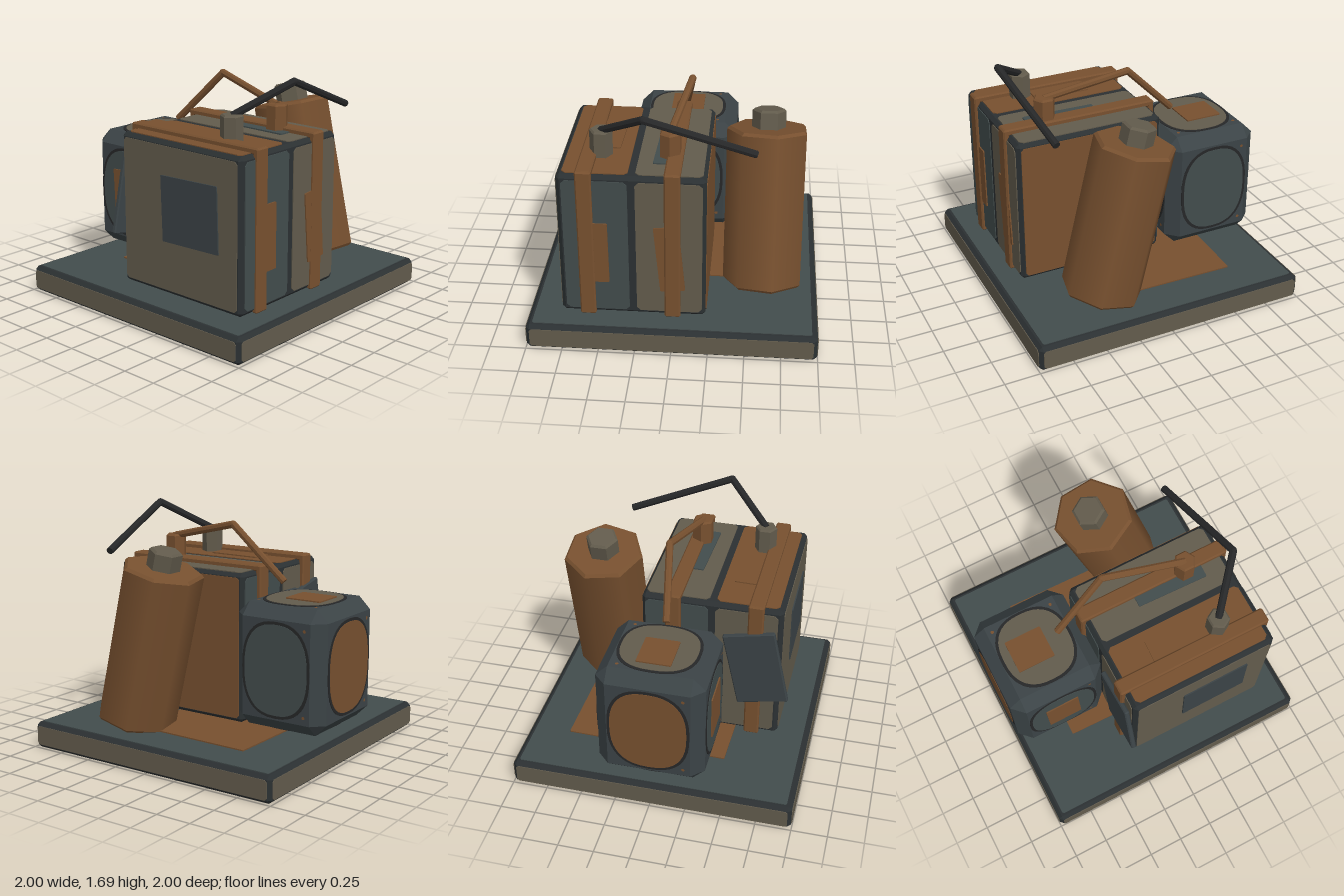
import * as THREE from 'three';
import { ConvexGeometry } from 'three/addons/geometries/ConvexGeometry.js';

const paint = (name, color) => {
  const m = new THREE.MeshStandardMaterial({ color });
  m.name = name;
  return m;
};
const M = {
  slate: paint('slate', 0x424c4c),
  gunmetal: paint('gunmetal', 0x3b4346),
  trim: paint('dark trim', 0x2b3032),
  black: paint('black', 0x262728),
  rust: paint('rust brown', 0x77502f),
  taupe: paint('taupe', 0x625b4c),
};

// Orientation that turns a plate lying in XY to look out of each side
const FACES = {
  front: [0, 0, 0], back: [0, Math.PI, 0], right: [0, Math.PI / 2, 0],
  left: [0, -Math.PI / 2, 0], top: [-Math.PI / 2, 0, 0], bottom: [Math.PI / 2, 0, 0],
};

export function createModel() {
  const model = new THREE.Group();
  model.name = 'crateAndTank';

  function group(name) {
    const g = new THREE.Group();
    g.name = name;
    model.add(g);
    return g;
  }
  function add(parent, name, geo, mat, pos = [0, 0, 0]) {
    const mesh = new THREE.Mesh(geo, mat);
    mesh.name = name;
    mesh.position.set(...pos);
    parent.add(mesh);
    return mesh;
  }
  // Box with every edge cut at 45 degrees
  function chamferBox(w, h, d, c) {
    const pts = [];
    for (const sx of [-1, 1]) for (const sy of [-1, 1]) for (const sz of [-1, 1]) {
      for (let k = 0; k < 3; k++) {
        const cut = [c, c, c];
        cut[k] = 0;
        pts.push(new THREE.Vector3(sx * (w / 2 - cut[0]), sy * (h / 2 - cut[1]), sz * (d / 2 - cut[2])));
      }
    }
    return new ConvexGeometry(pts);
  }
  // Thin plate with clipped corners
  function clippedPlate(w, h, c, t) {
    const x = w / 2, y = h / 2;
    const pts = [[c - x, -y], [x - c, -y], [x, c - y], [x, y - c], [x - c, y], [c - x, y], [-x, y - c], [-x, c - y]];
    const shape = new THREE.Shape(pts.map(p => new THREE.Vector2(...p)));
    return new THREE.ExtrudeGeometry(shape, { depth: t, bevelEnabled: false });
  }
  // Thin squarish oval plate
  function ovalPlate(w, h, t) {
    const pts = [];
    for (let i = 0; i < 40; i++) {
      const a = i / 40 * Math.PI * 2, c = Math.cos(a), s = Math.sin(a);
      pts.push(new THREE.Vector2(Math.sign(c) * Math.abs(c) ** 0.8 * w / 2, Math.sign(s) * Math.abs(s) ** 0.8 * h / 2));
    }
    return new THREE.ExtrudeGeometry(new THREE.Shape(pts), { depth: t, bevelEnabled: false });
  }
  function onFace(parent, name, geo, mat, face, pos, spin = 0) {
    const mesh = add(parent, name, geo, mat, pos);
    mesh.rotation.set(...FACES[face]);
    mesh.rotateZ(spin);
    return mesh;
  }
  const patch = (parent, w, h, mat, face, pos, spin) =>
    onFace(parent, 'patch', clippedPlate(w, h, 0.005, 0.009), mat, face, pos, spin);
  function flat(geo) {
    const g = geo.toNonIndexed();
    g.computeVertexNormals();
    return g;
  }

  // Base slab
  const base = group('base');
  add(base, 'slab', chamferBox(1.99, 0.186, 1.99, 0.025), M.trim, [0, 0.093, 0]);
  for (const [face, x, z] of [['front', 0, 1], ['back', 0, -1], ['right', 1, 0], ['left', -1, 0]])
    onFace(base, 'sidePanel', clippedPlate(1.94, 0.135, 0.015, 0.007), M.taupe, face, [x * 0.993, 0.093, z * 0.993]);
  onFace(base, 'deck', clippedPlate(1.91, 1.91, 0.01, 0.006), M.slate, 'top', [0, 0.185, 0]);
  onFace(base, 'underside', clippedPlate(1.93, 1.93, 0.01, 0.002), M.black, 'bottom', [0, 0.002, 0]);
  patch(base, 1.15, 0.9, M.rust, 'top', [0.115, 0.191, -0.155], -0.02);

  // Crate: dark frame with an inset panel on each side
  const crate = group('crate');
  add(crate, 'frame', chamferBox(0.99, 1.07, 1.08, 0.025), M.trim, [-0.27, 0.735, 0.27]);
  const halves = [
    [-0.512, 0.435, { front: M.slate, back: M.taupe, top: M.rust }],
    [-0.022, 0.445, { front: M.taupe, back: M.slate, top: M.taupe }],
  ];
  for (const [x, w, mats] of halves) {
    onFace(crate, 'frontPanel', clippedPlate(w, 1.0, 0.025, 0.009), mats.front, 'front', [x, 0.735, 0.807]);
    onFace(crate, 'backPanel', clippedPlate(w, 1.0, 0.025, 0.009), mats.back, 'back', [x, 0.735, -0.267]);
    onFace(crate, 'topPanel', clippedPlate(w, 1.01, 0.025, 0.009), mats.top, 'top', [x, 1.267, 0.27]);
  }
  onFace(crate, 'rightPanel', clippedPlate(1.02, 1.01, 0.02, 0.008), M.rust, 'right', [0.222, 0.735, 0.27]);
  onFace(crate, 'leftPanel', clippedPlate(1.02, 1.01, 0.02, 0.008), M.taupe, 'left', [-0.762, 0.735, 0.27]);
  patch(crate, 0.17, 0.46, M.rust, 'front', [-0.515, 0.69, 0.816], 0.01);
  patch(crate, 0.17, 0.5, M.rust, 'front', [-0.02, 0.66, 0.816], 0.09);
  patch(crate, 0.2, 0.41, M.rust, 'top', [-0.475, 1.276, 0.215], -0.03);
  patch(crate, 0.14, 0.52, M.slate, 'top', [-0.065, 1.276, 0.365], -0.03);
  patch(crate, 0.5, 0.46, M.gunmetal, 'left', [-0.77, 0.815, 0.37], 0.03);

  // Straps wrapped over the crate
  for (const x of [-0.58, 0]) {
    const strap = group('strap');
    add(strap, 'strapTop', chamferBox(0.108, 0.045, 1.13, 0.01), M.rust, [x, 1.287, 0.265]);
    for (const z of [0.813, -0.283])
      add(strap, 'strapSide', chamferBox(0.108, 1.11, 0.045, 0.01), M.rust, [x, 0.753, z]);
  }
  // Loose plate hanging on the back
  add(crate, 'hangingPlate', chamferBox(0.37, 0.58, 0.036, 0.008), M.gunmetal, [-0.595, 0.795, -0.3]).rotation.z = -0.21;

  // Spouts and bent pipes
  function pipe(name, mat, r, points) {
    const g = group(name);
    const v = points.map(p => new THREE.Vector3(...p));
    for (let i = 0; i < v.length - 1; i++) {
      const d = v[i + 1].clone().sub(v[i]);
      const seg = add(g, 'pipeSection', flat(new THREE.CylinderGeometry(r, r, d.length(), 8)), mat);
      seg.position.copy(v[i]).addScaledVector(d, 0.5);
      seg.quaternion.setFromUnitVectors(new THREE.Vector3(0, 1, 0), d.normalize());
      if (i) add(g, 'pipeElbow', new THREE.SphereGeometry(r, 8, 6), mat, points[i]);
    }
  }
  for (const [x, mat, turn] of [[-0.5, M.taupe, Math.PI / 2], [-0.035, M.rust, 0]]) {
    const g = group('spout');
    g.position.set(x, 0, 0.5);
    g.rotation.y = turn;
    add(g, 'spoutBody', flat(new THREE.CylinderGeometry(0.078, 0.078, 0.18, 6)), mat, [0, 1.36, 0]);
    add(g, 'spoutRim', flat(new THREE.CylinderGeometry(0.066, 0.078, 0.012, 6)), mat, [0, 1.456, 0]);
  }
  pipe('blackPipe', M.black, 0.026, [[-0.5, 1.45, 0.5], [-0.19, 1.665, 0.765], [0.54, 1.39, 0.652]]);
  pipe('rustPipe', M.rust, 0.026, [[-0.035, 1.45, 0.5], [0.07, 1.585, -0.085], [0, 1.205, -0.465]]);

  // Leaning tank with seven sides and a hexagonal cap
  const tank = group('tank');
  tank.position.set(0.612, 0.23, 0.38);
  tank.rotation.x = -0.232;
  const seven = (top, bottom, h) => new THREE.CylinderGeometry(top, bottom, h, 7, 1, false, -Math.PI / 2);
  add(tank, 'tankBody', seven(0.287, 0.287, 1.09), M.rust, [0, 0.565, 0]);
  add(tank, 'tankTopRim', flat(seven(0.267, 0.287, 0.02)), M.rust, [0, 1.12, 0]);
  add(tank, 'tankBottomRim', flat(seven(0.287, 0.267, 0.02)), M.rust, [0, 0.01, 0]);
  const hex = (top, h) => flat(new THREE.CylinderGeometry(top, 0.117, h, 6, 1, false, Math.PI / 2));
  add(tank, 'tankCap', hex(0.117, 0.12), M.taupe, [0, 1.185, 0]);
  add(tank, 'tankCapRim', hex(0.1, 0.015), M.taupe, [0, 1.2525, 0]);

  // Chamfered block with an oval panel on each side
  const block = group('block');
  block.position.set(0, 0.675, -0.635);
  const W = 0.75, H = 0.865, D = 0.7;
  add(block, 'blockBody', chamferBox(W, H, D, 0.085), M.gunmetal);
  const sides = [
    ['front', 0.54, 0.64, M.slate, [0, 0, 1]], ['back', 0.54, 0.64, M.rust, [0, 0, -1]],
    ['right', 0.5, 0.64, M.slate, [1, 0, 0]], ['left', 0.5, 0.64, M.slate, [-1, 0, 0]],
    ['top', 0.54, 0.5, M.taupe, [0, 1, 0]], ['bottom', 0.54, 0.5, M.taupe, [0, -1, 0]],
  ];
  for (const [face, w, h, mat, n] of sides) {
    const at = lift => [n[0] * (W / 2 + lift), n[1] * (H / 2 + lift), n[2] * (D / 2 + lift)];
    onFace(block, 'ovalTrim', ovalPlate(w + 0.03, h + 0.03, 0.006), M.black, face, at(-0.002));
    onFace(block, 'ovalPanel', ovalPlate(w - 0.01, h - 0.01, 0.006), mat, face, at(0.001));
    if (face === 'top' || face === 'bottom') patch(block, 0.24, 0.27, M.rust, face, at(0.007).map((v, i) => i === 2 ? -0.05 * n[1] : v), 0);
    if (face === 'left') patch(block, 0.25, 0.34, M.rust, face, at(0.007), 0.04);
    // Rivets near two corners
    for (const s of [-1, 1]) {
      const rivet = onFace(block, 'rivet', new THREE.CircleGeometry(0.012, 8), M.rust, face, at(0.002));
      rivet.translateX(face === 'top' || face === 'bottom' ? 0.235 : w / 2 - 0.03);
      rivet.translateY(s * (h / 2 - 0.025));
    }
  }
  return model;
}
